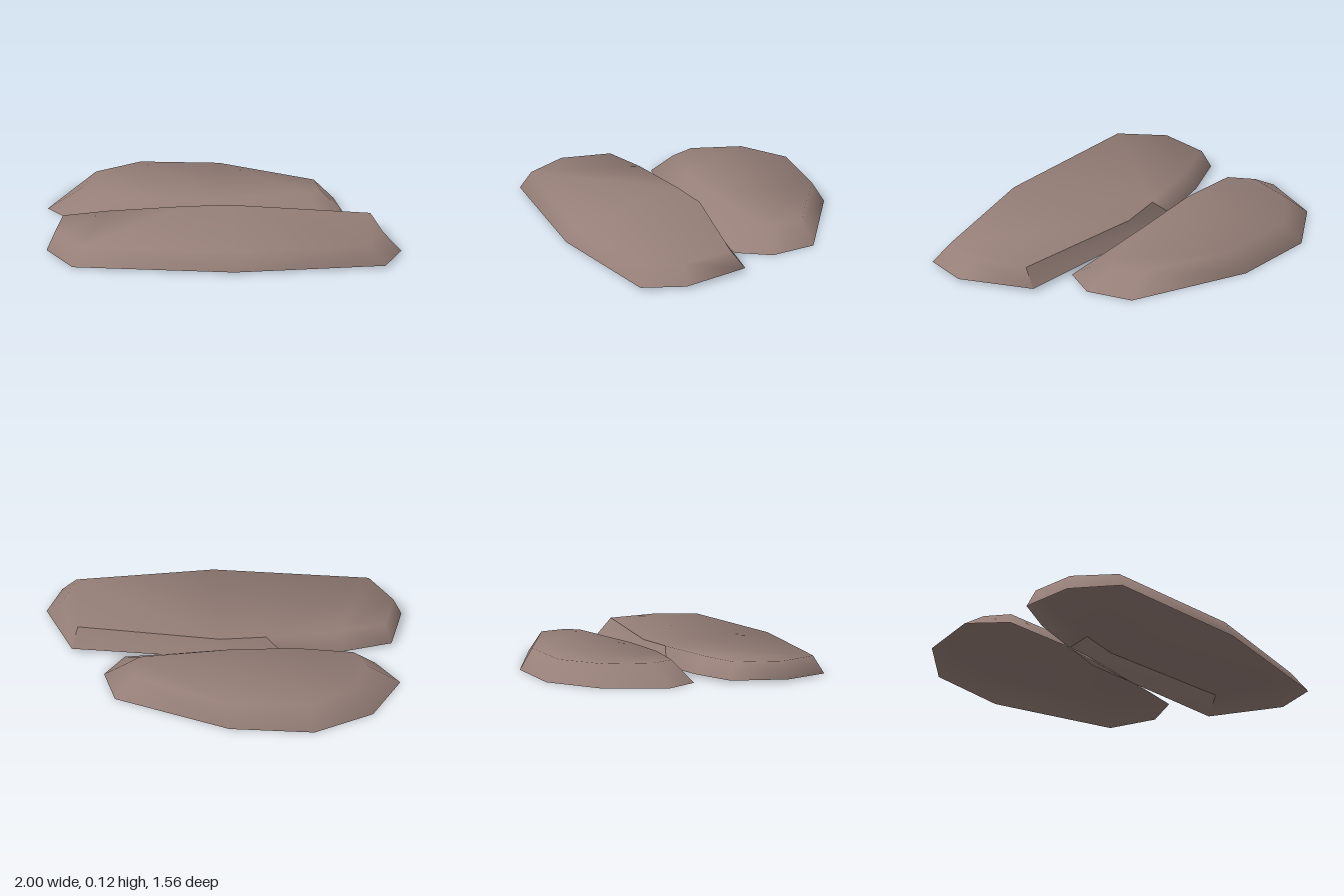
import * as THREE from 'three';

// One flat stone: an open-bottomed shell with sloping sides under a narrower top.
// Outlines are [x, z] lists running clockwise from above; "chipped" lists the sides
// that meet the top in a hard edge.
function makeStone(name, lower, upper, lowY, topY, material, chipped = []) {
  const n = lower.length;
  const positions = [];
  const normals = [];
  const isHard = (i) => chipped.includes(i) || chipped.includes((i + n - 1) % n);

  // Slope direction of the side at a corner
  const slope = (i) => {
    const dx = lower[i][0] - upper[i][0];
    const dz = lower[i][1] - upper[i][1];
    const inset = Math.hypot(dx, dz);
    const height = topY(upper[i][1]) - lowY(lower[i][1]);
    return new THREE.Vector3(dx / inset * height, inset, dz / inset * height).normalize();
  };

  // Upper ring blends the top into the sides, lower ring follows the sides
  upper.forEach(([x, z], i) => {
    const normal = slope(i).multiplyScalar(isHard(i) ? 0.15 : 1);
    normal.y += 1;
    positions.push(x, topY(z), z);
    normals.push(...normal.normalize().toArray());
  });
  lower.forEach(([x, z], i) => {
    positions.push(x, lowY(z), z);
    normals.push(...slope(i).toArray());
  });

  // Top as a zigzag strip across the outline
  const bodyFaces = [];
  const chipFaces = [];
  for (let i = 0, j = n - 1; i + 1 < j; i++, j--) {
    bodyFaces.push(i, j, i + 1);
    if (i + 1 < j - 1) bodyFaces.push(i + 1, j, j - 1);
  }
  // Sloping sides
  for (let i = 0; i < n; i++) {
    const k = (i + 1) % n;
    const faces = chipped.includes(i) ? chipFaces : bodyFaces;
    faces.push(n + i, i, k, n + i, k, n + k);
  }

  const group = new THREE.Group();
  group.name = name;
  const body = new THREE.BufferGeometry();
  body.setAttribute('position', new THREE.Float32BufferAttribute(positions, 3));
  body.setAttribute('normal', new THREE.Float32BufferAttribute(normals, 3));
  body.setIndex(bodyFaces);
  const bodyMesh = new THREE.Mesh(body, material);
  bodyMesh.name = name + 'Body';
  group.add(bodyMesh);

  if (chipFaces.length) {
    const chip = new THREE.BufferGeometry();
    chip.setAttribute('position', new THREE.Float32BufferAttribute(positions, 3));
    chip.setIndex(chipFaces);
    chip.computeVertexNormals();
    const chipMesh = new THREE.Mesh(chip, material);
    chipMesh.name = name + 'ChippedEdge';
    group.add(chipMesh);
  }
  return group;
}

export function createModel() {
  const stone = new THREE.MeshStandardMaterial({ color: 0x967f78, side: THREE.DoubleSide });
  stone.name = 'brownStone';
  const model = new THREE.Group();
  model.name = 'flatStones';

  // Rear stone, lying level
  model.add(makeStone('rearStone',
    [[-1, -0.15], [-0.91, -0.5], [-0.63, -0.74], [-0.17, -0.78], [0.49, -0.575],
      [0.59, -0.33], [0.51, -0.135], [-0.05, -0.04], [-0.42, 0.02], [-0.83, 0.03]],
    [[-0.82, -0.19], [-0.79, -0.46], [-0.58, -0.66], [-0.16, -0.71], [0.39, -0.53],
      [0.45, -0.38], [0.4, -0.31], [-0.08, -0.15], [-0.42, -0.08], [-0.73, -0.07]],
    () => 0, () => 0.115, stone));

  // Front stone, tilted up slightly toward the back
  model.add(makeStone('frontStone',
    [[-0.89, 0.22], [-0.65, 0.09], [-0.35, -0.01], [-0.1, -0.09], [0.8, -0.13],
      [1, 0.24], [0.955, 0.485], [0.17, 0.72], [-0.71, 0.78], [-0.89, 0.54]],
    [[-0.85, 0.25], [-0.62, 0.14], [-0.24, 0.01], [0, -0.055], [0.78, -0.055],
      [0.9, 0.23], [0.87, 0.44], [0.16, 0.67], [-0.68, 0.725], [-0.85, 0.52]],
    (z) => 0.017 - 0.013 * z, (z) => 0.113 - 0.015 * z, stone, [2, 3]));

  return model;
}
